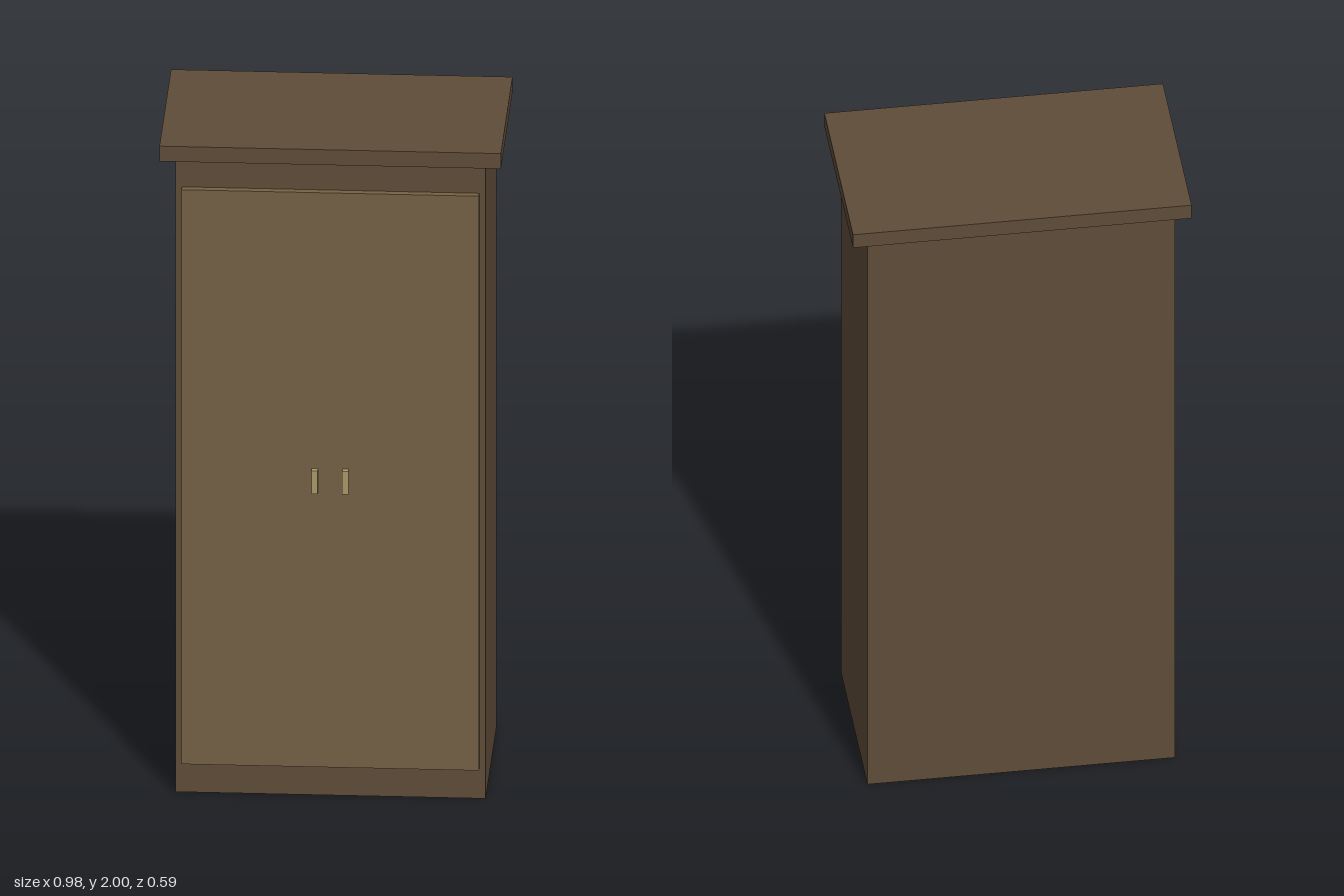
import * as THREE from 'three';

const wood = new THREE.MeshStandardMaterial({ color: 0x5f4c38 });
const doorWood = new THREE.MeshStandardMaterial({ color: 0x756144 });
const brass = new THREE.MeshStandardMaterial({ color: 0xa89a6a });

// Box given by its min and max corners
function box(name, material, [x0, y0, z0], [x1, y1, z1]) {
  const mesh = new THREE.Mesh(new THREE.BoxGeometry(x1 - x0, y1 - y0, z1 - z0), material);
  mesh.position.set((x0 + x1) / 2, (y0 + y1) / 2, (z0 + z1) / 2);
  mesh.name = name;
  return mesh;
}

export function createModel() {
  const wardrobe = new THREE.Group();
  wardrobe.name = 'wardrobe';

  // Carcass and overhanging top board
  wardrobe.add(box('carcass', wood, [-0.443, 0, -0.272], [0.443, 1.953, 0.257]));
  wardrobe.add(box('topBoard', wood, [-0.488, 1.953, -0.297], [0.488, 2, 0.279]));

  // Flush door front
  wardrobe.add(box('doorFront', doorWood, [-0.425, 0.095, 0.257], [0.425, 1.867, 0.279]));

  // Pair of upright handles beside the centre line
  for (const [name, x] of [['leftHandle', 0.044], ['rightHandle', -0.044]]) {
    wardrobe.add(box(name, brass, [x - 0.009, 0.945, 0.279], [x + 0.009, 1.016, 0.297]));
  }
  return wardrobe;
}
